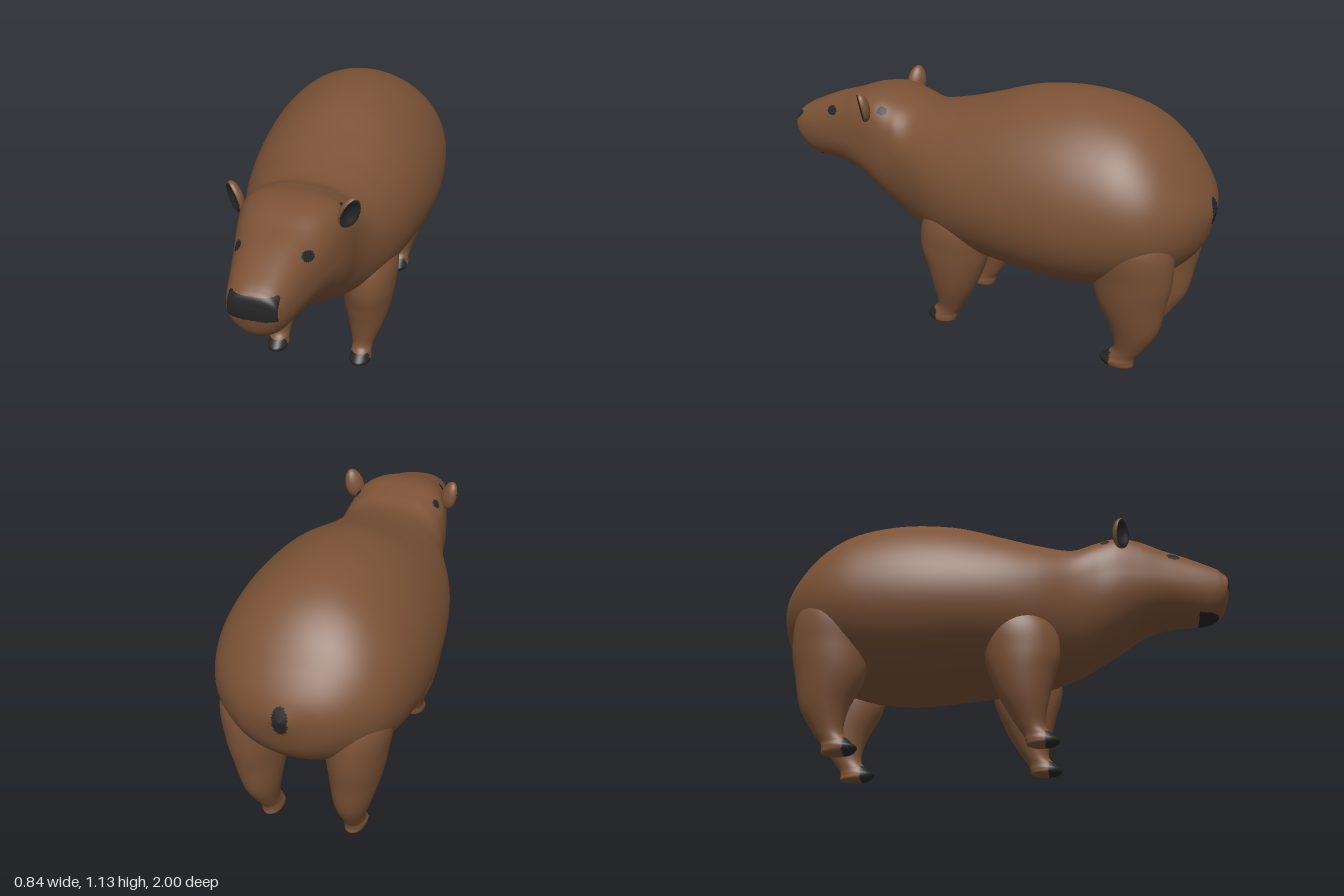
import * as THREE from 'three';

const fur = new THREE.MeshStandardMaterial({ color: 0x7b5236 });
fur.name = 'brown fur';
const dark = new THREE.MeshStandardMaterial({ color: 0x262627 });
dark.name = 'dark skin';

// Uniform Catmull-Rom interpolation of every column of a table of rows
function sample(rows, t) {
  const n = rows.length - 1;
  const f = Math.min(t * n, n - 1e-6);
  const i = Math.floor(f), u = f - i;
  const row = (k) => rows[Math.max(0, Math.min(n, k))];
  return rows[0].map((_, c) => {
    const [a, b, d, e] = [row(i - 1)[c], row(i)[c], row(i + 1)[c], row(i + 2)[c]];
    return b + 0.5 * u * (d - a + u * (2 * a - 5 * b + 4 * d - e + u * (3 * (b - d) + e - a)));
  });
}

// Closed smooth skin through rings; ringPoint(values, angle) gives [x, y, z]
function loft(rows, rings, sides, ringPoint) {
  const pos = [], index = [];
  for (let i = 0; i <= rings; i++) {
    const values = sample(rows, i / rings);
    for (let j = 0; j < sides; j++) {
      pos.push(...ringPoint(values, (j / sides) * Math.PI * 2));
      if (i === rings) continue;
      const k = (j + 1) % sides;
      const a = i * sides + j, b = a + sides, c = i * sides + k, d = c + sides;
      index.push(a, b, c, b, d, c);
    }
  }
  const geo = new THREE.BufferGeometry();
  geo.setAttribute('position', new THREE.Float32BufferAttribute(pos, 3));
  geo.setIndex(index);
  geo.computeVertexNormals();
  return geo;
}

// Sorts the faces into a fur group and a dark group by a test on face centres
function paint(geo, isDark) {
  const p = geo.attributes.position, idx = geo.index.array;
  const light = [], black = [];
  const c = new THREE.Vector3(), v = new THREE.Vector3();
  for (let i = 0; i < idx.length; i += 3) {
    c.set(0, 0, 0);
    for (let k = 0; k < 3; k++) c.add(v.fromBufferAttribute(p, idx[i + k]));
    c.divideScalar(3);
    (isDark(c) ? black : light).push(idx[i], idx[i + 1], idx[i + 2]);
  }
  geo.setIndex(light.concat(black));
  geo.clearGroups();
  geo.addGroup(0, light.length, 0);
  geo.addGroup(light.length, black.length, 1);
  return geo;
}

function part(name, geo) {
  const mesh = new THREE.Mesh(geo, [fur, dark]);
  mesh.name = name;
  return mesh;
}

// Body and head, nose to rump: z, top, bottom, half width, widest height, roundness above
const BODY = [
  [0.998, 0.80, 0.80, 0, 0.80, 2.3],
  [0.99, 0.845, 0.745, 0.085, 0.79, 2.4],
  [0.96, 0.872, 0.672, 0.108, 0.78, 2.4],
  [0.9, 0.902, 0.634, 0.127, 0.78, 2.4],
  [0.8, 0.944, 0.63, 0.152, 0.785, 2.4],
  [0.7, 0.975, 0.62, 0.177, 0.79, 2.6],
  [0.6, 1.008, 0.58, 0.203, 0.79, 3],
  [0.5, 1.017, 0.51, 0.226, 0.78, 3.2],
  [0.4, 0.998, 0.445, 0.24, 0.76, 2.7],
  [0.3, 0.976, 0.393, 0.27, 0.73, 2.2],
  [0.15, 1.005, 0.352, 0.335, 0.7, 2],
  [0, 1.05, 0.34, 0.377, 0.69, 1.95],
  [-0.2, 1.113, 0.325, 0.408, 0.685, 1.9],
  [-0.4, 1.132, 0.31, 0.42, 0.685, 1.9],
  [-0.57, 1.112, 0.326, 0.41, 0.685, 1.95],
  [-0.7, 1.065, 0.36, 0.385, 0.69, 2],
  [-0.81, 0.985, 0.41, 0.338, 0.69, 2],
  [-0.9, 0.88, 0.475, 0.255, 0.69, 2],
  [-0.96, 0.79, 0.56, 0.155, 0.69, 2],
  [-0.998, 0.7, 0.7, 0, 0.7, 2],
];

function bodyPoint([z, top, bottom, w, mid, round], a) {
  const c = Math.cos(a), s = Math.sin(a);
  const e = 2 / (s > 0 ? round : 2.05);
  const h = s > 0 ? top - mid : mid - bottom;
  return [w * Math.sign(c) * Math.abs(c) ** e, mid + h * Math.sign(s) * Math.abs(s) ** e, z];
}

// Dark markings on the body skin
function bodyMarks({ x, y, z }) {
  const ax = Math.abs(x);
  const nose = z > 0.95 && y > 0.75 + 0.15 * Math.max(0, ax - 0.05) && y < 0.85 && ax < 0.096;
  const mouth = z > 0.85 && z < 0.965 && y < 0.655 && ax < 0.085;
  const eye = ax > 0.08 && Math.hypot((z - 0.75) / 0.03, (y - 0.9) / 0.019) < 1;
  const behindEar = Math.hypot(ax - 0.19, y - 0.96, z - 0.45) < 0.022;
  const tail = z < -0.9 && Math.hypot(x / 0.032, (y - 0.7) / 0.06) < 1;
  return nose || mouth || eye || behindEar || tail;
}

// Legs from hip to sole: y, centre x, half width, centre z, half depth
const FRONT_LEG = [
  [0.66, 0.2, 0.08, 0.06, 0.09],
  [0.52, 0.205, 0.124, 0.07, 0.16],
  [0.4, 0.211, 0.115, 0.083, 0.158],
  [0.3, 0.206, 0.104, 0.085, 0.13],
  [0.2, 0.204, 0.08, 0.095, 0.095],
  [0.1, 0.196, 0.05, 0.118, 0.058],
  [0.06, 0.195, 0.045, 0.148, 0.062],
  [0.035, 0.195, 0.048, 0.163, 0.07],
  [0.016, 0.195, 0.04, 0.16, 0.055],
  [0.012, 0.195, 0, 0.16, 0],
];
const BACK_LEG = [
  [0.75, 0.2, 0.09, -0.72, 0.1],
  [0.6, 0.213, 0.134, -0.725, 0.165],
  [0.45, 0.21, 0.121, -0.732, 0.165],
  [0.33, 0.204, 0.104, -0.73, 0.146],
  [0.2, 0.195, 0.075, -0.747, 0.102],
  [0.1, 0.188, 0.048, -0.726, 0.064],
  [0.055, 0.185, 0.043, -0.692, 0.065],
  [0.03, 0.185, 0.047, -0.675, 0.074],
  [0.005, 0.182, 0.038, -0.685, 0.06],
  [0, 0.182, 0, -0.685, 0],
];

function leg(rows, side, toeZ) {
  const geo = loft(rows, 72, 40, ([y, cx, rx, cz, rz], a) =>
    [side * cx + rx * Math.cos(a), y, cz - rz * Math.sin(a)]);
  return paint(geo, (c) => c.y < 0.068 && c.z > toeZ);
}

// Cupped ear: a flattened ball whose front is pushed in and painted dark
function ear(side) {
  const geo = new THREE.SphereGeometry(1, 32, 24);
  paint(geo, (c) => c.z > 0.3);
  const p = geo.attributes.position;
  for (let i = 0; i < p.count; i++) {
    const z = p.getZ(i), y = p.getY(i);
    const taper = 1 - 0.12 * y;
    p.setXYZ(i, p.getX(i) * 0.044 * taper, y * 0.068, z > 0 ? 0.014 * Math.sin(z * Math.PI) - 0.004 * z : z * 0.03);
  }
  geo.computeVertexNormals();
  const mesh = part(side > 0 ? 'leftEar' : 'rightEar', geo);
  mesh.position.set(side * 0.23, 0.975, 0.52);
  mesh.rotation.set(0, side * 0.75, -side * 0.28, 'ZYX');
  return mesh;
}

export function createModel() {
  const model = new THREE.Group();
  model.name = 'animal';
  model.add(part('bodyAndHead', paint(loft(BODY, 228, 144, bodyPoint), bodyMarks)));
  for (const side of [1, -1]) {
    const name = side > 0 ? 'left' : 'right';
    model.add(part(name + 'FrontLeg', leg(FRONT_LEG, side, 0.175)));
    model.add(part(name + 'BackLeg', leg(BACK_LEG, side, -0.655)));
    model.add(ear(side));
  }
  return model;
}
